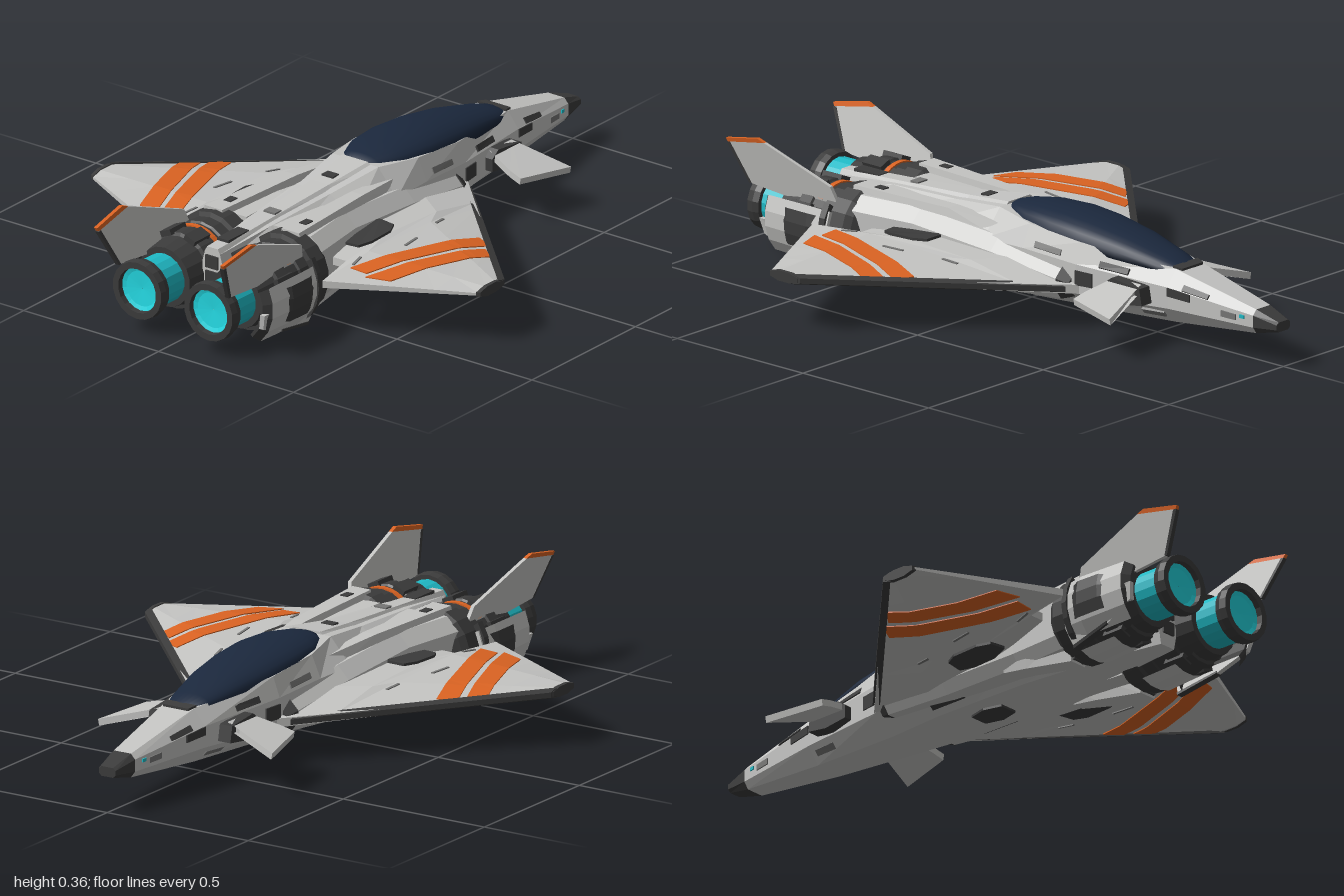
import * as THREE from 'three';

const mat = (name, color) => Object.assign(new THREE.MeshStandardMaterial({ color }), { name });
const M = {
  hull: mat('hull grey', 0xc4c4c2), dark: mat('dark metal', 0x3b3b3b), mid: mat('panel grey', 0x777776),
  glass: mat('canopy blue', 0x1b283d), glow: mat('engine cyan', 0x1fbac6), core: mat('bright cyan', 0x24d8e2),
  orange: mat('stripe orange', 0xdb6322),
};
const lerp = THREE.MathUtils.lerp;

// Skin a row of equal-length rings of [x,y,z] points and cap both ends
function loft(rings, smooth = false) {
  const n = rings[0].length, P = rings.flat(), idx = [];
  for (let r = 0; r < rings.length - 1; r++)
    for (let i = 0; i < n; i++) {
      const a = r * n + i, b = r * n + (i + 1) % n;
      idx.push(a, b, b + n, a, b + n, a + n);
    }
  const e = (rings.length - 1) * n;
  for (let i = 1; i < n - 1; i++) idx.push(0, i + 1, i, e, e + i, e + i + 1);
  // turn all faces outward
  const v = P.map(p => new THREE.Vector3(...p));
  const c = v.reduce((s, p) => s.add(p), new THREE.Vector3()).divideScalar(v.length);
  v.forEach(p => p.sub(c));
  let vol = 0;
  for (let i = 0; i < idx.length; i += 3)
    vol += v[idx[i]].dot(v[idx[i + 1]].clone().cross(v[idx[i + 2]]));
  if (vol < 0) idx.reverse();
  let g = new THREE.BufferGeometry();
  g.setAttribute('position', new THREE.Float32BufferAttribute(P.flat(), 3));
  g.setIndex(idx);
  if (!smooth) g = g.toNonIndexed();
  g.computeVertexNormals();
  return g;
}
// Convex polygon thickened by +-o
const slab = (pts, o) => loft([-1, 1].map(s => pts.map(p => p.map((c, i) => c + s * o[i]))));

// Mirror a non-indexed geometry in x, keeping its faces outward
function mirror(geo) {
  const g = geo.clone(), p = geo.attributes.position, m = geo.attributes.normal;
  for (let i = 0; i < p.count; i++) {
    const j = i % 3 === 1 ? i + 1 : i % 3 === 2 ? i - 1 : i;
    g.attributes.position.setXYZ(i, -p.getX(j), p.getY(j), p.getZ(j));
    g.attributes.normal.setXYZ(i, -m.getX(j), m.getY(j), m.getZ(j));
  }
  return g;
}

// Fuselage stations: z, top y, top half width, upper side y, side half width, lower side y, belly y, belly half width
const STATIONS = [
  [-1, .142, .02, .135, .03, .12, .112, .02], [-.92, .168, .03, .152, .045, .115, .095, .03],
  [-.62, .234, .052, .185, .09, .12, .07, .05], [-.3, .262, .117, .2, .14, .11, .055, .07],
  [-.1, .279, .119, .21, .15, .1, .05, .09], [.05, .29, .085, .21, .155, .1, .048, .09],
  [.25, .266, .06, .21, .15, .1, .045, .09], [.52, .25, .045, .2, .1, .09, .045, .06],
  [.74, .23, .028, .2, .036, .08, .04, .028],
];
function station(z) {
  let i = 0;
  while (i < STATIONS.length - 2 && z > STATIONS[i + 1][0]) i++;
  const a = STATIONS[i], b = STATIONS[i + 1], t = (z - a[0]) / (b[0] - a[0]);
  return a.map((v, k) => lerp(v, b[k], t));
}
const corners = z => { const [, yt, wt, yu, ws, yl, yb, wb] = station(z); return [[wt, yt], [ws, yu], [ws, yl], [wb, yb]]; };
const hullRing = z => { const c = corners(z); return [...c, ...c.slice().reverse().map(([x, y]) => [-x, y])].map(([x, y]) => [x, y, z]); };
// Thin plate on hull facet f (0 shoulder, 1 side, 2 lower side)
function hullPanel(z0, z1, f, u0, u1) {
  const at = (z, u) => { const c = corners(z); return [lerp(c[f][0], c[f + 1][0], u), lerp(c[f][1], c[f + 1][1], u), z]; };
  return slab([at(z0, u0), at(z1, u0), at(z1, u1), at(z0, u1)], [[.003, .003, 0], [.004, 0, 0], [.003, -.003, 0]][f]);
}

// Wing shape
const lead = x => lerp(-.29, .275, (x - .16) / .56);
const trail = x => x <= .265 ? .44 : x < .3 ? lerp(.44, .6, (x - .265) / .035) : lerp(.6, .386, (x - .3) / .42);
function wingY(x, z, s) {
  const t = (z - lead(x)) / (trail(x) - lead(x)), k = (x - .14) / .58;
  const h = lerp(.046, .013, k), f = Math.min(1, .3 + .7 * t / .3, .3 + .7 * (1 - t) / .3);
  return lerp(lerp(.125, .157, t), .163, k) + s * h * Math.max(f, .15);
}
const wingRing = x => {
  const zs = [0, .3, .7, 1].map(t => lerp(lead(x), trail(x), t));
  return [...zs.map(z => [x, wingY(x, z, 1), z]), ...zs.reverse().map(z => [x, wingY(x, z, -1), z])];
};
// Painted band between two edges [x0,z0,x1,z1], laid on the wing
function wingBand(e1, e2, s) {
  const at = (e, t, o) => { const x = lerp(e[0], e[2], t), z = lerp(e[1], e[3], t); return [x, wingY(x, z, s) + s * o, z]; };
  return loft(Array.from({ length: 15 }, (_, i) => i / 14).map(t => [at(e1, t, -.002), at(e2, t, -.002), at(e2, t, .003), at(e1, t, .003)]));
}

// Surface of revolution along z from [z, radius] points
function turned(pts, start = 0, len = Math.PI * 2, seg = 18) {
  const g = new THREE.LatheGeometry(pts.map(([z, r]) => new THREE.Vector2(r, z)), seg, start, len).toNonIndexed();
  g.rotateX(Math.PI / 2).translate(.132, .138, 0);
  g.computeVertexNormals();
  return g;
}
const box = (x, y, z, w, h, d) => new THREE.BoxGeometry(w, h, d).translate(x, y, z).toNonIndexed();

export function createModel() {
  const root = new THREE.Group();
  root.name = 'starfighter';
  const add = (name, geo, m) => { const k = new THREE.Mesh(geo, M[m]); k.name = name; root.add(k); };
  const pair = (name, geo, m) => { add(name + 'Left', geo, m); add(name + 'Right', mirror(geo), m); };

  // Fuselage and nose
  add('fuselage', loft(STATIONS.slice(1).map(s => hullRing(s[0]))), 'hull');
  add('noseTip', loft([-1, -.92].map(hullRing)), 'dark');
  [[-.7, -.62, 1, 0, .4], [-.36, -.3, 1, .2, .7], [-.76, -.67, 0, .6, .95],
    [-.48, -.38, 0, .6, .9], [-.1, .03, 2, .35, .7]].forEach(a => pair('hullPanel', hullPanel(...a), 'dark'));
  [[-.86, -.81, 1, .3, .7], [-.24, -.14, 0, .6, .85], [-.6, -.52, 2, .3, .6]].forEach(a => pair('greyPanel', hullPanel(...a), 'mid'));
  pair('noseLight', hullPanel(-.89, -.875, 1, .2, .45), 'glow');

  // Canopy: z, half width, base y, crown y
  const canopy = [[-.625, .052, .215, .238], [-.56, .072, .22, .258], [-.42, .102, .232, .292], [-.28, .119, .242, .313],
    [-.17, .122, .252, .32], [-.06, .108, .262, .316], [.02, .074, .268, .304], [.055, .045, .27, .294]];
  add('canopy', loft(canopy.map(([z, w, y0, y1]) => Array.from({ length: 13 }, (_, i) => {
    const a = Math.PI * i / 12;
    return [w * Math.cos(a), y0 + (y1 - y0) * Math.pow(Math.sin(a), .75), z];
  })), true), 'glass');
  add('canopyFrame', slab([[-.045, .233, -.64], [.045, .233, -.64], [.053, .238, -.61], [-.053, .238, -.61]], [0, .004, 0]), 'dark');

  // Dorsal spine and tail between the engines
  add('spine', loft([[.05, .066, .297], [.22, .045, .278], [.45, .034, .262], [.74, .028, .245]]
    .map(([z, w, y]) => [[w, .1, z], [w, y - .015, z], [w * .7, y, z], [-w * .7, y, z], [-w, y - .015, z], [-w, .1, z]])), 'hull');
  [[.17, .283, .03, 'dark'], [.45, .263, .03, 'mid'], [.64, .252, .1, 'dark']].forEach(([z, y, d, m]) => add('spinePanel', box(0, y, z, .042, .009, d), m));
  [.1, .15, .2].forEach(y => add('tailPanel', box(0, y, .742, .045, .04, .008), 'dark'));

  // Intakes with dark mouths and ridges running back to the engines
  const duct = ([z, x0, x1, y0, y1]) => [[x0, y0, z], [x1 - .025, y0, z], [x1, y0 + .035, z], [x1, y1 - .04, z], [x1 - .04, y1, z], [x0, y1, z]];
  pair('intake', loft([[-.25, .1, .168, .085, .19], [0, .06, .183, .065, .225], [.3, .06, .195, .055, .25], [.51, .05, .228, .04, .252]].map(duct)), 'hull');
  pair('intakeMouth', loft([[-.285, .1, .155, .095, .18], [-.25, .1, .173, .085, .193]].map(duct)), 'dark');
  pair('intakeSide', slab([[.179, .11, -.2], [.187, .1, -.03], [.187, .15, -.03], [.179, .145, -.2]], [.004, 0, 0]), 'dark');
  pair('ridge', loft([[-.02, .095, .115, .25], [.2, .1, .145, .268], [.55, .11, .175, .272]]
    .map(([z, a, b, y]) => [[a - .01, .2, z], [b + .015, .2, z], [b, y, z], [a, y, z]])), 'hull');
  pair('ridgePanel', box(.14, .271, .47, .025, .006, .035), 'dark');

  // Wings with dark edges, stripes and vents
  pair('wing', loft([.1, .265, .3, .4, .5, .6, .715].map(wingRing)), 'hull');
  const edge = x => { const z = lead(x), y = wingY(x, z, 0); return [[z - .008, .008], [z + .022, .016], [z + .022, -.016], [z - .008, -.008]].map(([c, h]) => [x, y + h, c]); };
  pair('wingLeadingEdge', loft([.17, .45, .72].map(edge)), 'dark');
  pair('wingTip', loft([.71, .722].map(x => wingRing(x).map((p, i) => [p[0], p[1] + (i < 4 ? .003 : -.003), p[2]]))), 'dark');
  for (const s of [1, -1]) {
    pair('innerStripe', wingBand([.46, .05, .32, .49], [.517, .075, .38, .49], s), 'orange');
    pair('outerStripe', wingBand([.528, .11, .39, .51], [.577, .145, .465, .485], s), 'orange');
    // vents sit further forward and outboard on the underside
    const [dx, dz] = s > 0 ? [0, 0] : [.02, -.08];
    const vent = [[.195, .185], [.25, .19], [.27, .23], [.27, .32], [.25, .36], [.195, .365], [.18, .31], [.18, .23]];
    pair('wingVent', slab(vent.map(([x, z]) => [x + dx, wingY(x + dx, z + dz, s) + s * .007, z + dz]), [0, .004, 0]), 'dark');
    [[.3, .02, .05], [.34, .2, .07], [.3, .42, .05]].forEach(([x, z, d]) =>
      pair('wingSeam', wingBand([x, z, x + .01, z + d], [x + .008, z, x + .018, z + d], s), 'mid'));
  }

  // Drooping canards on dark pivots
  pair('canard', slab([[.12, .176, -.545], [.16, .164, -.54], [.307, .122, -.59], [.262, .135, -.405], [.22, .147, -.41], [.12, .176, -.44]], [.002, .01, 0]), 'hull');
  pair('canardPivot', slab([[.125, .12, -.5], [.125, .13, -.57], [.125, .18, -.56], [.125, .192, -.45], [.125, .17, -.42], [.125, .13, -.42]], [.022, 0, 0]), 'dark');

  // Engines
  pair('nacelle', turned([[.45, .06], [.5, .115], [.52, .13], [.575, .13], [.58, .116], [.62, .116], [.625, .11], [.67, .11],
    [.675, .116], [.72, .114], [.725, .104], [.8, .094], [.8, .06]]), 'dark');
  pair('nacelleBand', turned([[.639, .108], [.639, .114], [.655, .114], [.655, .108]], Math.PI - .8, 1.6, 8), 'orange');
  pair('exhaust', turned([[.78, .075], [.9, .075], [.915, .072]]), 'glow');
  pair('exhaustCore', turned([[.915, .072], [.91, .056], [.906, .001]]), 'core');
  pair('nozzleRing', turned([[.89, .074], [.89, .088], [.91, .093], [.932, .09], [.932, .07], [.9, .068]]), 'dark');
  for (let i = 0; i < 8; i++) {
    const a = (i + .5) * Math.PI / 4;
    pair('nacelleBlock', box(0, .115, .7, .04, .018, .075).rotateZ(a).translate(.132, .138, 0), 'dark');
  }

  // Armour around the outer side and underside of each engine, dark at the rear
  pair('engineArmour', turned([[.57, .118], [.57, .142], [.64, .152], [.81, .147]], .75, 1.3, 4), 'hull');
  pair('armourRear', turned([[.81, .147], [.83, .125], [.83, .115], [.57, .115]], .75, 1.3, 4), 'dark');
  pair('armourPanel', turned([[.61, .145], [.64, .157], [.72, .155], [.74, .145]], 1.15, .75, 3), 'dark');
  pair('armourRib', turned([[.575, .13], [.575, .15], [.595, .152], [.595, .13]], .6, 1.6, 5), 'dark');
  pair('lowerArmour', turned([[.57, .112], [.57, .134], [.7, .128]], -.45, .9, 3), 'hull');
  pair('lowerArmourRear', turned([[.7, .128], [.76, .112], [.76, .1]], -.45, .9, 3), 'dark');

  // Tail fins with orange tips and dark trailing edges
  const fin = (pts, w = .006) => slab(pts.map(([z, y]) => [.203 + (y - .2) * .23, y, z]), [w, 0, 0]);
  pair('tailFin', fin([[.58, .21], [.6, .265], [.845, .353], [.994, .325], [.93, .205], [.75, .19]]), 'hull');
  pair('tailFinTip', fin([[.845, .353], [.87, .362], [1, .336], [.994, .325]]), 'orange');
  pair('tailFinEdge', fin([[.985, .326], [.997, .324], [.934, .204], [.924, .205]], .007), 'dark');

  // Lower strakes and belly pods
  pair('strake', slab([[.262, .13, .84], [.25, .08, .83], [.235, .035, .72], [.222, .008, .58], [.24, .07, .56], [.262, .13, .57]], [.008, 0, 0]), 'hull');
  pair('strakeEdge', slab([[.236, .036, .725], [.222, .006, .58], [.224, .016, .578], [.238, .044, .725]], [.011, 0, 0]), 'dark');
  pair('bellyPod', loft([[.24, .055, .13, .17], [.34, .035, .12, .18], [.52, .002, .12, .18]]
    .map(([z, y, a, b]) => [[a, y, z], [b, y, z], [b + .012, .1, z], [a - .012, .1, z]])), 'hull');
  pair('bellyPodBack', box(.15, .035, .523, .05, .05, .012), 'dark');
  add('bellyHatch', slab([[-.03, .046, -.02], [.03, .046, -.02], [.045, .045, .04], [.03, .044, .1], [-.03, .044, .1], [-.045, .045, .04]], [0, .004, 0]), 'dark');
  return root;
}
